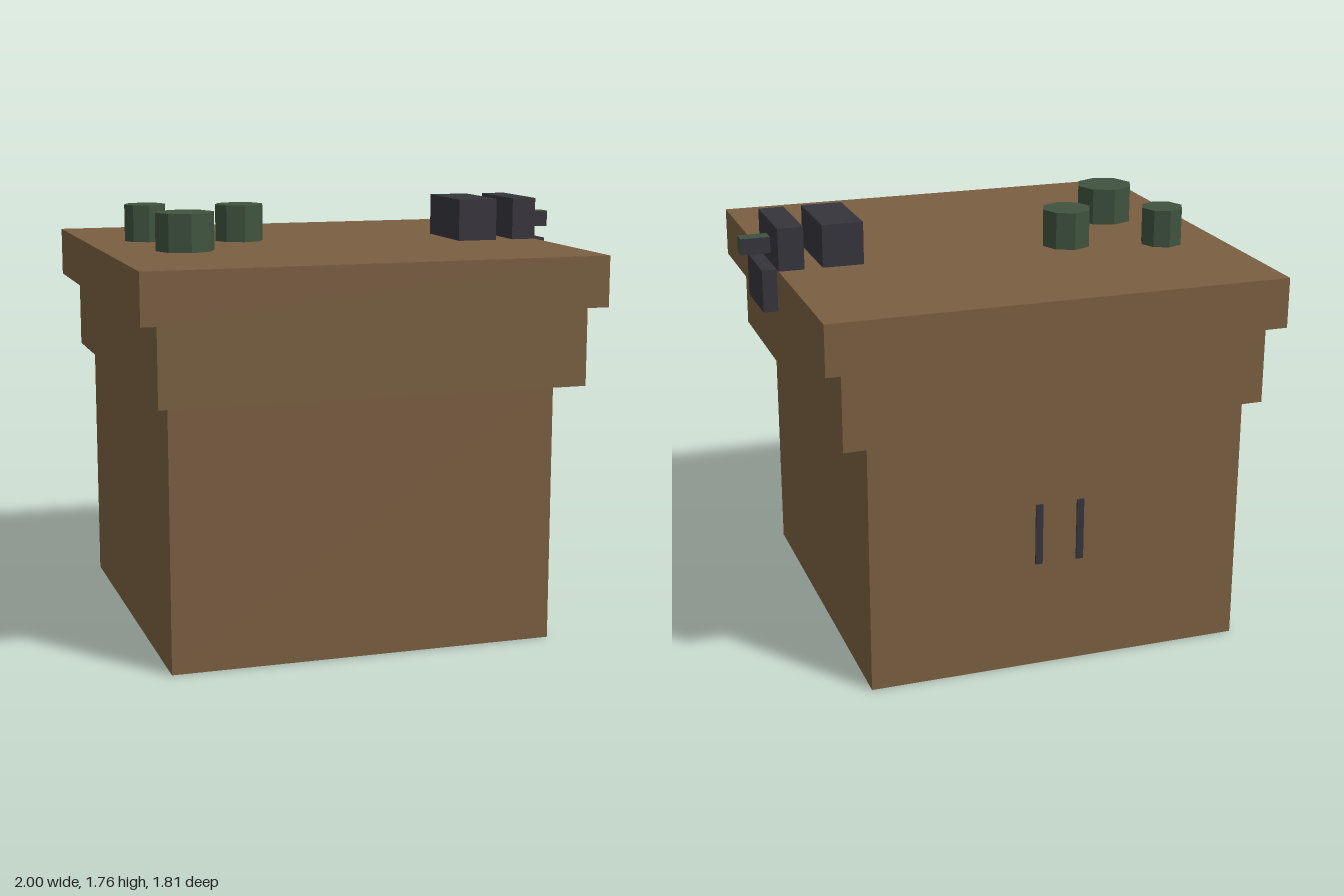
import * as THREE from 'three';

export function createModel() {
  const group = new THREE.Group();
  const mat = (name, color, extra = {}) => {
    const m = new THREE.MeshStandardMaterial({ color, ...extra });
    m.name = name;
    return m;
  };
  const brown = mat('brown', 0x7a5f41, { side: THREE.DoubleSide, flatShading: true });
  const dark = mat('charcoal', 0x36343c);
  const green = mat('green', 0x40533f, { flatShading: true });

  const add = (name, geometry, material) => {
    const mesh = new THREE.Mesh(geometry, material);
    mesh.name = name;
    group.add(mesh);
    return mesh;
  };
  // Box given by its limits on each axis
  const box = (name, material, [x0, x1], [y0, y1], [z0, z1]) =>
    add(name, new THREE.BoxGeometry(x1 - x0, y1 - y0, z1 - z0)
      .translate((x0 + x1) / 2, (y0 + y1) / 2, (z0 + z1) / 2), material);

  // Base: four thin walls, open underneath
  const base = box('baseWalls', brown, [-0.88, 0.7], [0, 1.06], [-0.79, 0.79]);
  const index = Array.from(base.geometry.index.array);
  base.geometry.setIndex([...index.slice(0, 12), ...index.slice(24)]);
  base.geometry.clearGroups();

  // Stepped tiers
  box('middleTier', brown, [-0.93, 0.81], [1.06, 1.38], [-0.86, 0.86]);
  box('topSlab', brown, [-1, 0.88], [1.38, 1.585], [-0.905, 0.905]);

  // Eight-sided knobs on the slab: x, z, radius
  for (const [x, z, r] of [[-0.743, -0.249, 0.088], [-0.356, -0.144, 0.104], [-0.672, 0.208, 0.122]]) {
    add('knob', new THREE.CylinderGeometry(r, r, 0.155, 8), green).position.set(x, 1.6625, z);
  }

  // Latch blocks along the +x edge
  box('innerBlock', dark, [0.53, 0.7], [1.585, 1.76], [-0.177, 0.173]);
  box('outerBlock', dark, [0.775, 0.88], [1.585, 1.76], [-0.177, 0.173]);
  box('latchPlate', dark, [0.88, 0.94], [1.41, 1.585], [-0.14, 0.138]);
  // Button with green end and top (face order +x -x +y -y +z -z)
  box('button', [green, dark, green, dark, dark, dark], [0.88, 1], [1.625, 1.692], [-0.035, 0.032]);

  // Two slots on the back wall
  for (const x of [-0.005, -0.18]) {
    box('backSlot', dark, [x - 0.015, x + 0.015], [0.45, 0.71], [-0.797, -0.789]);
  }
  return group;
}
